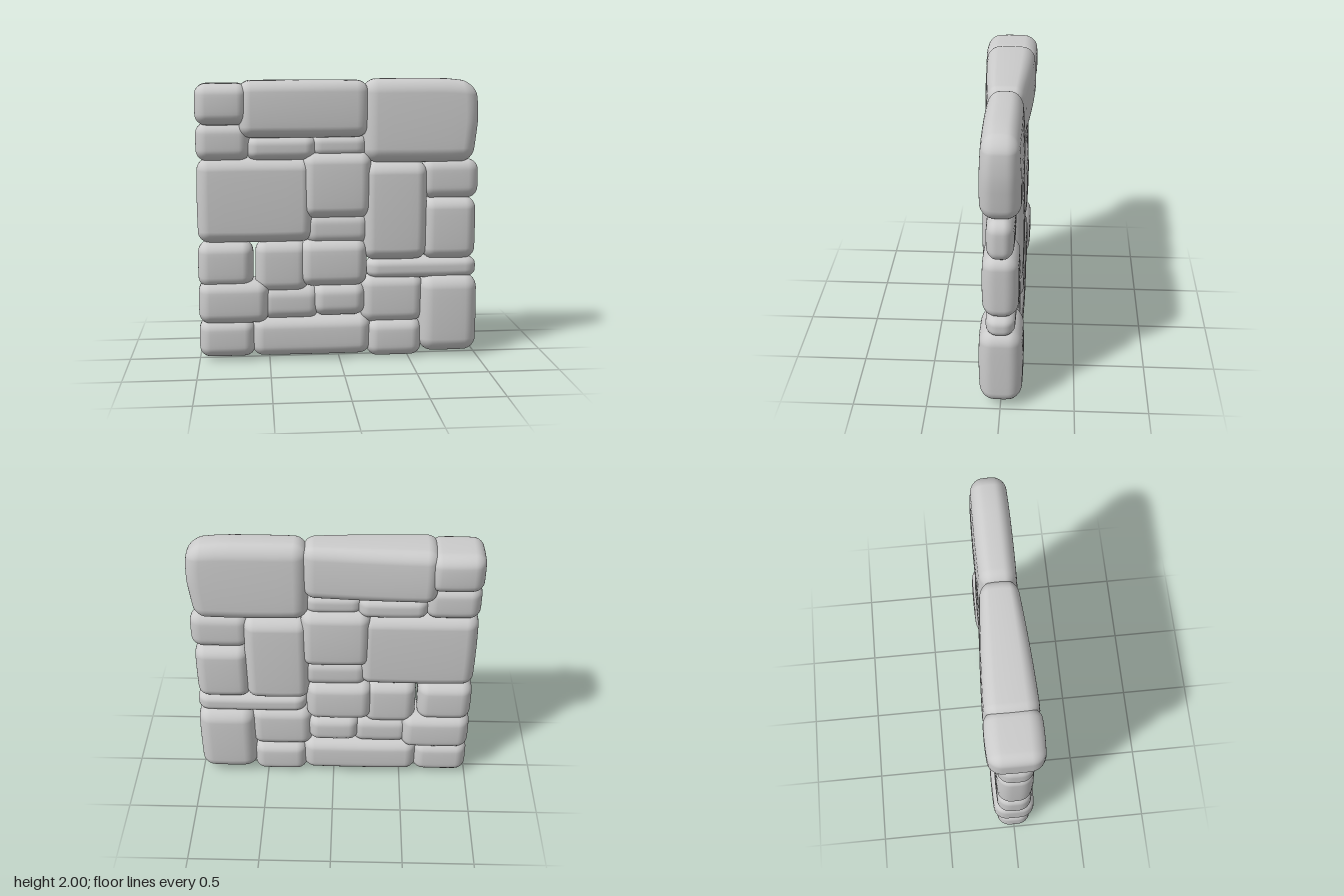
import * as THREE from 'three';
import { mergeVertices } from 'three/addons/utils/BufferGeometryUtils.js';

const material = new THREE.MeshStandardMaterial({ color: 0xcccccc });
const SEGMENTS = 14;

// One softly rounded stone: x and y limits, half depth at its left and right
// ends, and optional shape tweaks (slant of the right end, thinning at the top, rounding).
function makeStone(x0, x1, y0, y1, depthA, depthB = depthA, tweak = {}) {
  const { slant = 0, topThin = 0, round = 0.075, chamfer = 0 } = tweak;
  const hx = (x1 - x0) / 2, hy = (y1 - y0) / 2, hz = Math.max(depthA, depthB);
  const rx = Math.min(round, hx * 0.7), ry = Math.min(round, hy * 0.7), rz = Math.min(0.09, hz * 0.7);

  const geometry = new THREE.BoxGeometry(2, 2, 2, SEGMENTS, SEGMENTS, SEGMENTS);
  geometry.deleteAttribute('uv');
  geometry.deleteAttribute('normal');
  const pos = geometry.attributes.position;
  const p = new THREE.Vector3(), inner = new THREE.Vector3(), d = new THREE.Vector3();

  // Four rows of vertices fall inside each rounded edge, the rest on the flat
  const spread = (t, half, r) => {
    const a = Math.abs(t), flat = 1 - 8 / SEGMENTS;
    const v = a <= flat ? (a / flat) * (half - r) : half - r + r * Math.tan(((a - flat) / (1 - flat)) * Math.PI / 4);
    return Math.sign(t) * v;
  };

  for (let i = 0; i < pos.count; i++) {
    p.fromBufferAttribute(pos, i);
    p.set(spread(p.x, hx, rx), spread(p.y, hy, ry), spread(p.z, hz, rz));
    inner.set(
      THREE.MathUtils.clamp(p.x, rx - hx, hx - rx),
      THREE.MathUtils.clamp(p.y, ry - hy, hy - ry),
      THREE.MathUtils.clamp(p.z, rz - hz, hz - rz));
    d.subVectors(p, inner).divide(new THREE.Vector3(rx, ry, rz)).normalize();
    p.set(inner.x + d.x * rx, inner.y + d.y * ry, inner.z + d.z * rz);

    // Taper along the length and bulge the faces slightly
    const u = p.x / hx, v = p.y / hy, w = p.z / hz;
    const depth = THREE.MathUtils.lerp(depthA, depthB, (u + 1) / 2) / hz;
    p.z *= depth * (1 - 0.05 * u * u - 0.06 * v * v) * (1 - topThin * (v + 1) / 2);
    p.x *= 1 - 0.015 * v * v - 0.03 * w * w;
    p.y *= 1 - 0.015 * u * u - 0.05 * w * w;
    if (u > 0) {
      p.x -= slant * u * Math.max(0, -v);
      p.y -= chamfer * Math.max(0, v) * u ** 4;
      p.x -= chamfer * u * Math.max(0, v) ** 4;
    }
    pos.setXYZ(i, p.x, p.y, p.z);
  }
  const smooth = mergeVertices(geometry, 1e-5);
  smooth.computeVertexNormals();
  const stone = new THREE.Mesh(smooth, material);
  stone.position.set((x0 + x1) / 2, (y0 + y1) / 2, 0);
  return stone;
}

// Courses of stones from the top of the wall to the bottom
const courses = {
  capStone: [
    [-1, -0.63, 1.68, 1.97, 0.185, 0.19],
    [-0.7, 0.21, 1.59, 1.99, 0.2, 0.14, { topThin: 0.08 }],
    [0.17, 0.99, 1.41, 2, 0.145, 0.142, { slant: 0.03, topThin: 0.12, round: 0.09, chamfer: 0.03 }],
  ],
  fillerStone: [
    [-1, -0.62, 1.43, 1.7, 0.125],
    [-0.65, -0.16, 1.43, 1.61, 0.125],
    [-0.2, 0.2, 1.45, 1.61, 0.095],
  ],
  middleStone: [
    [-1, -0.18, 0.85, 1.45, 0.13, 0.13],
    [-0.26, 0.23, 1.02, 1.49, 0.15],
    [-0.24, 0.22, 0.83, 1.06, 0.105],
    [0.17, 0.63, 0.71, 1.42, 0.14],
    [0.59, 1, 1.15, 1.43, 0.095, 0.09],
    [0.6, 0.985, 0.71, 1.16, 0.122],
  ],
  lowerStone: [
    [-1, -0.608, 0.53, 0.86, 0.125],
    [-0.596, -0.22, 0.49, 0.86, 0.115],
    [-0.28, 0.2, 0.53, 0.87, 0.145],
    [0.2, 0.995, 0.57, 0.725, 0.1],
    [-1, -0.5, 0.27, 0.58, 0.152],
    [-0.56, -0.14, 0.29, 0.53, 0.105],
    [-0.19, 0.19, 0.31, 0.55, 0.128],
    [0.16, 0.61, 0.25, 0.6, 0.112],
  ],
  baseStone: [
    [-1, -0.6, 0.02, 0.3, 0.125],
    [-0.625, 0.23, 0.02, 0.31, 0.13],
    [0.2, 0.6, 0, 0.28, 0.128],
    [0.58, 1, 0.03, 0.6, 0.15, 0.15, { round: 0.09 }],
  ],
};

export function createModel() {
  const wall = new THREE.Group();
  wall.name = 'stoneWall';
  for (const [name, stones] of Object.entries(courses)) {
    stones.forEach((args, i) => {
      const stone = makeStone(...args);
      stone.name = `${name}${i + 1}`;
      wall.add(stone);
    });
  }
  return wall;
}
